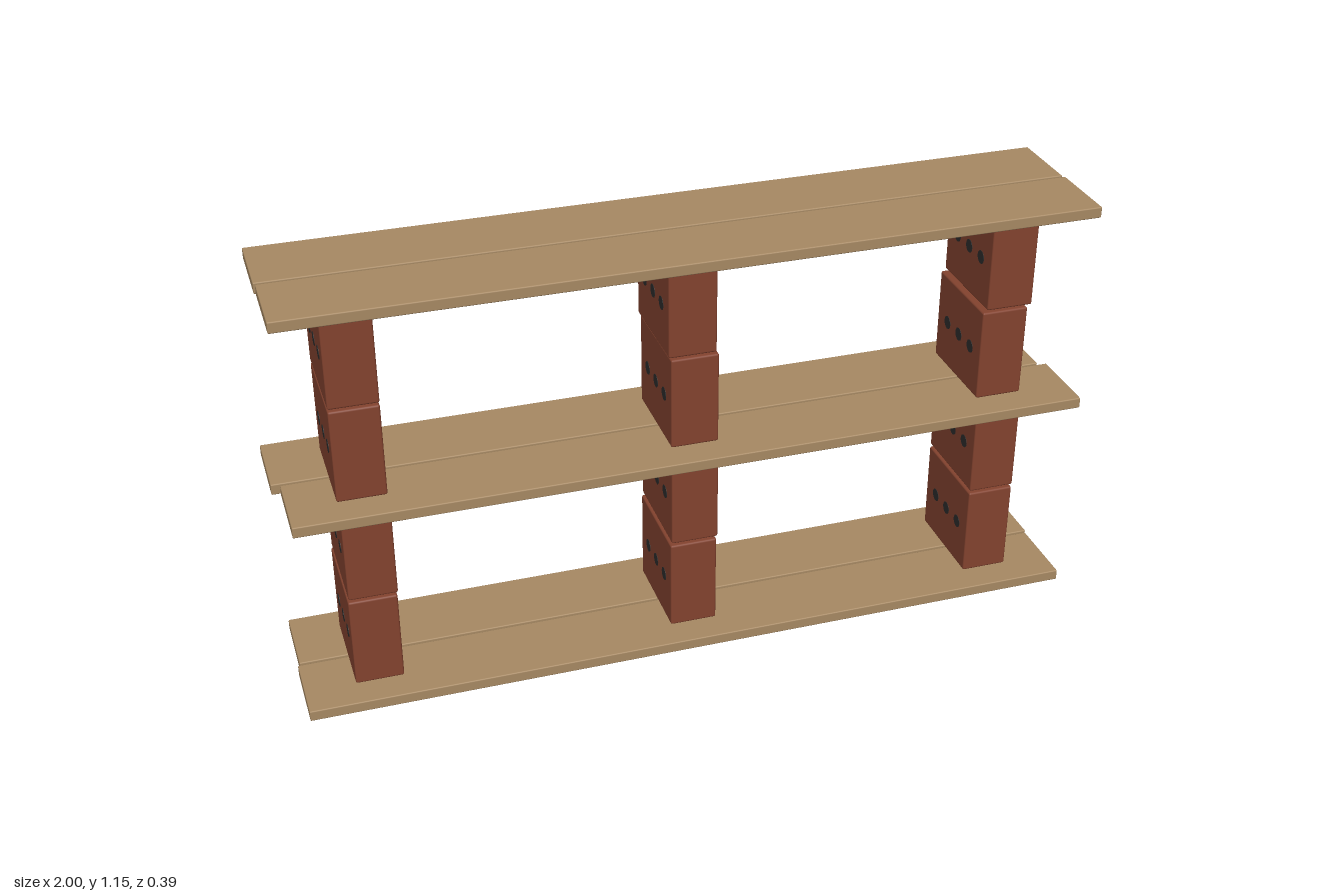
import * as THREE from 'three';
import { RoundedBoxGeometry } from 'three/addons/geometries/RoundedBoxGeometry.js';

export function createModel() {
  const model = new THREE.Group();
  model.name = 'brickAndPlankShelf';

  const material = (name, color) => {
    const m = new THREE.MeshStandardMaterial({ color });
    m.name = name;
    return m;
  };
  const wood = material('wood', 0xa88a64);
  const clay = material('brickRed', 0x84432f);
  const dark = material('holeDark', 0x2d2d2d);

  const add = (parent, name, geometry, mat, x, y, z) => {
    const mesh = new THREE.Mesh(geometry, mat);
    mesh.name = name;
    mesh.position.set(x, y, z);
    parent.add(mesh);
    return mesh;
  };

  // Low foot bricks under the bottom shelf
  const footGeo = new RoundedBoxGeometry(0.25, 0.075, 0.117, 2, 0.005);
  for (const x of [-0.805, 0, 0.805]) add(model, 'footBrick', footGeo, clay, x, 0.0385, 0);

  // Shelves: two planks each, laid slightly unevenly [y, front x, back x]
  const plankGeo = new RoundedBoxGeometry(1.974, 0.028, 0.192, 2, 0.003);
  for (const [y, frontX, backX] of [[0.094, -0.001, 0.004], [0.616, 0.008, -0.013], [1.138, 0.006, 0.002]]) {
    add(model, 'frontPlank', plankGeo, wood, frontX, y, 0.101);
    add(model, 'backPlank', plankGeo, wood, backX, y, -0.099);
  }

  // Upright bricks with three dark round holes on each side face
  const brickGeo = new RoundedBoxGeometry(0.119, 0.238, 0.253, 2, 0.005);
  const holeGeo = new THREE.CylinderGeometry(0.017, 0.017, 0.121, 16);
  holeGeo.rotateZ(Math.PI / 2);
  const rows = [
    [0.231, [-0.804, -0.002, 0.805]],
    [0.476, [-0.802, 0.001, 0.806]],
    [0.753, [-0.806, 0, 0.8]],
    [0.997, [-0.806, -0.006, 0.81]],
  ];
  for (const [y, columns] of rows) {
    for (const x of columns) {
      const brick = new THREE.Group();
      brick.name = 'uprightBrick';
      brick.position.set(x, y, 0);
      add(brick, 'brickBody', brickGeo, clay, 0, 0, 0);
      for (const z of [-0.067, 0, 0.067]) add(brick, 'brickHole', holeGeo, dark, 0, 0, z);
      model.add(brick);
    }
  }
  return model;
}
